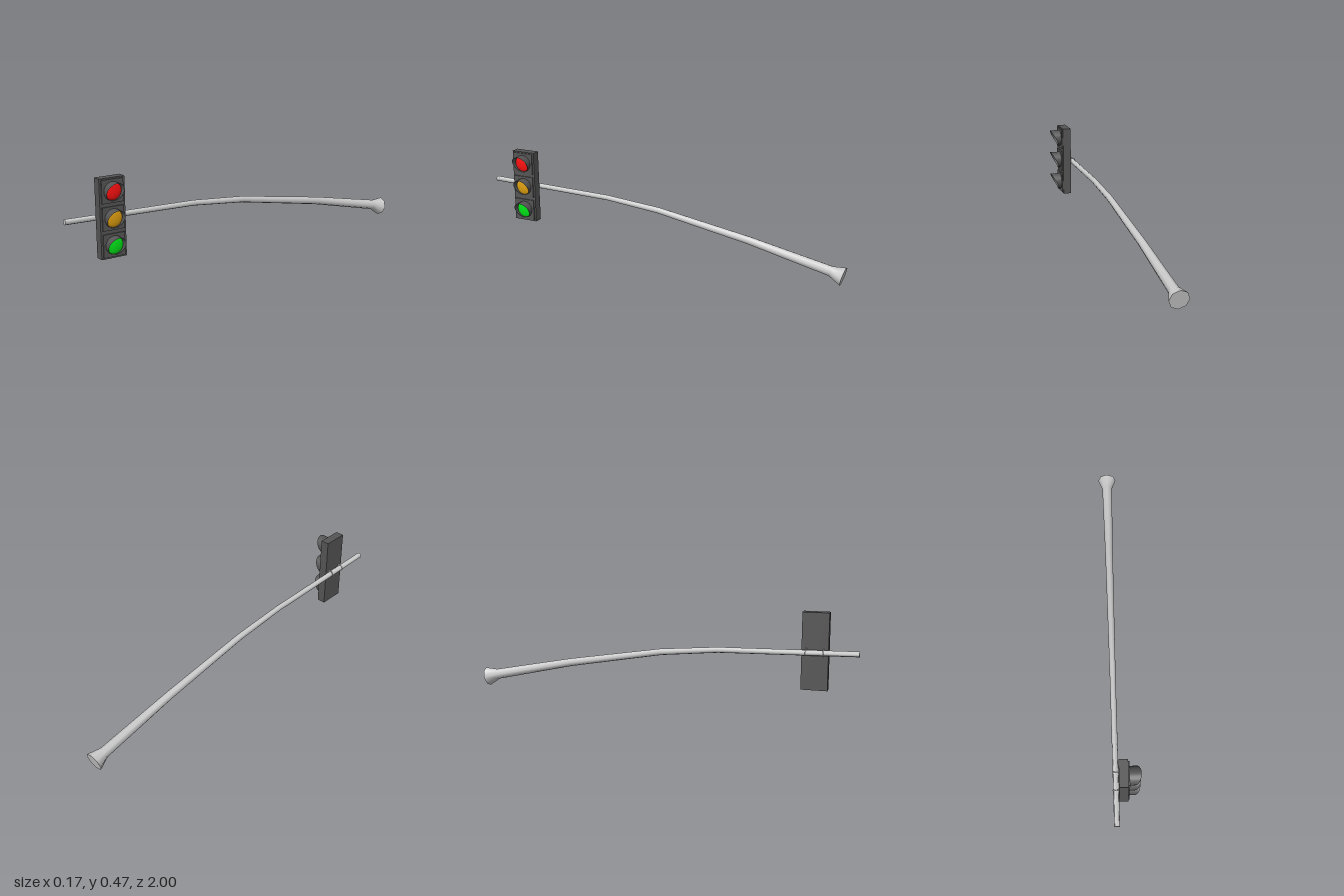
import * as THREE from 'three';
import { toCreasedNormals } from 'three/addons/utils/BufferGeometryUtils.js';

const ARM_X = -0.037;
const LIGHT_Z = 0.783;

const material = (color, side = THREE.FrontSide) => new THREE.MeshStandardMaterial({ color, side });
const grey = material(0xcccccc);
const dark = material(0x555555);
const darkThin = material(0x555555, THREE.DoubleSide);

function add(parent, name, geometry, mat, x, y, z) {
  const mesh = new THREE.Mesh(geometry, mat);
  mesh.name = name;
  mesh.position.set(x, y, z);
  parent.add(mesh);
  return mesh;
}

// Tapered eight-sided arm lofted through rings [z, y, radius, tilt], closed at both ends
function armGeometry(rings) {
  const n = 8, pos = [], index = [];
  for (const [z, y, r, tilt] of rings) {
    for (let k = 0; k < n; k++) {
      const a = (k / n) * Math.PI * 2, up = r * Math.sin(a);
      pos.push(r * Math.cos(a), y + up * Math.cos(tilt), z - up * Math.sin(tilt));
    }
  }
  const last = rings.length - 1, tip = pos.length / 3, base = tip + 1;
  pos.push(0, rings[0][1], rings[0][0], 0, rings[last][1], rings[last][0]);
  for (let k = 0; k < n; k++) {
    const m = (k + 1) % n;
    for (let i = 0; i < last; i++) {
      const a = i * n + k, b = i * n + m;
      index.push(a, a + n, b, b, a + n, b + n);
    }
    index.push(tip, k, m, base, last * n + m, last * n + k);
  }
  const g = new THREE.BufferGeometry();
  g.setAttribute('position', new THREE.Float32BufferAttribute(pos, 3));
  g.setIndex(index);
  return toCreasedNormals(g, Math.PI / 3);
}

// Round hood along +x, cut by a slanted plane so the top reaches furthest
function visorGeometry(r, topLength, bottomLength) {
  const g = new THREE.CylinderGeometry(r, r, 1, 24, 1, true).rotateZ(-Math.PI / 2);
  const p = g.attributes.position;
  for (let i = 0; i < p.count; i++) {
    const t = (p.getY(i) + r) / (2 * r);
    p.setX(i, p.getX(i) > 0 ? THREE.MathUtils.lerp(bottomLength, topLength, t) : 0);
  }
  return g;
}

export function createModel() {
  const model = new THREE.Group();
  model.name = 'trafficLight';

  // Curved arm with flared mounting end
  add(model, 'arm', armGeometry([
    [1, 0.283, 0.014, 0],
    [0.3, 0.267, 0.0145, 0.05],
    [0, 0.24, 0.0165, 0.13],
    [-0.5, 0.156, 0.0205, 0.19],
    [-0.925, 0.067, 0.027, 0.25],
    [-0.987, 0.05, 0.049, 0.25],
  ]), grey, ARM_X, 0, 0);

  // Signal housing
  add(model, 'housing', new THREE.BoxGeometry(0.045, 0.387, 0.132), dark, 0.0005, 0.2815, LIGHT_Z);

  // Three lamps: face plate, domed lens and slanted visor
  const plate = new THREE.BoxGeometry(0.006, 0.113, 0.113);
  const lens = new THREE.SphereGeometry(0.044, 24, 6, 0, Math.PI * 2, 0, Math.PI / 2)
    .rotateZ(-Math.PI / 2).scale(0.25, 1, 1);
  const visor = visorGeometry(0.0455, 0.055, 0.006);
  const lamps = [['red', 0xff1111, 0.412], ['amber', 0xe0a010, 0.282], ['green', 0x00e818, 0.152]];
  for (const [name, color, y] of lamps) {
    const lamp = new THREE.Group();
    lamp.name = name + 'Lamp';
    lamp.position.set(0.029, y, LIGHT_Z);
    add(lamp, 'facePlate', plate, dark, -0.003, 0, 0);
    add(lamp, 'lens', lens, material(color), 0, 0, 0);
    add(lamp, 'visor', visor, darkThin, 0, 0, 0);
    model.add(lamp);
  }

  // Two clamps holding the housing to the arm
  for (const side of [-1, 1]) {
    const clamp = new THREE.Group();
    clamp.name = 'clamp';
    clamp.position.set(ARM_X, 0.279, LIGHT_Z + side * 0.043);
    add(clamp, 'clampRing', new THREE.TorusGeometry(0.0145, 0.0025, 6, 16), grey, 0, 0, 0);
    for (const s of [-1, 1]) {
      add(clamp, 'clampLug', new THREE.BoxGeometry(0.011, 0.005, 0.006), grey, 0.011, s * 0.016, 0);
    }
    model.add(clamp);
  }
  return model;
}
